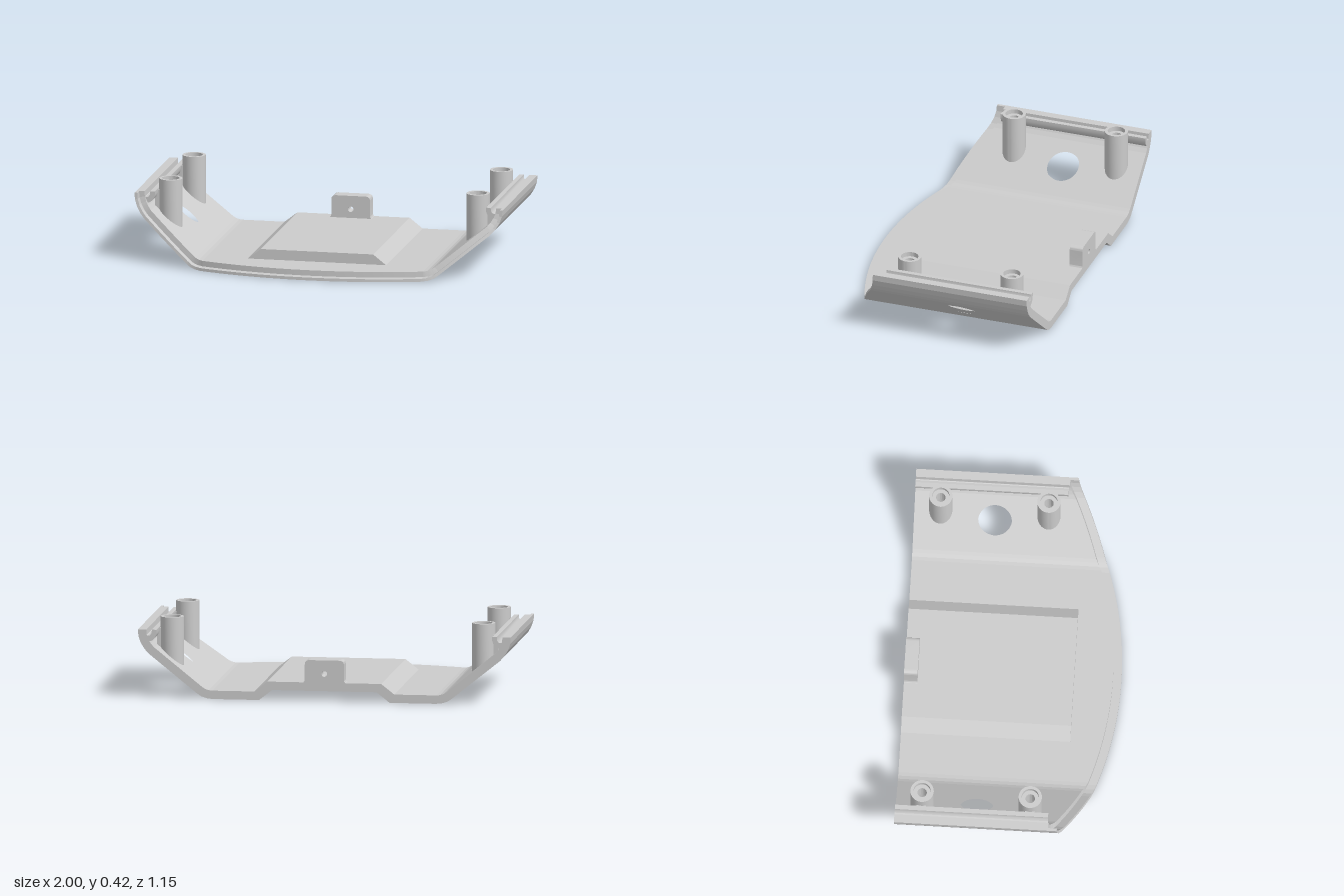
import * as THREE from 'three';
import { toCreasedNormals } from 'three/addons/utils/BufferGeometryUtils.js';

const BACK = -0.575, LIP = 0.045, R = 1.897;
const frontZ = (x) => Math.sqrt(R * R - x * x) - R + 0.575;
const POST_X = 0.835, POST_Z = [0.14, -0.435];
const mat = new THREE.MeshStandardMaterial({ color: 0xcccccc });

// Half profile of the shell: [outer x, outer y, inner x, inner y]
const HALF = [
  [0.6, 0, 0.6, 0.045], [0.632, 0.004, 0.62, 0.047], [0.66, 0.013, 0.64, 0.054],
  [0.685, 0.03, 0.657, 0.065], [0.94, 0.235, 0.912, 0.27], [0.965, 0.262, 0.93, 0.29],
  [0.985, 0.295, 0.944, 0.313], [0.997, 0.33, 0.953, 0.337], [1, 0.365, 0.955, 0.365],
];
const SLOPE = 3; // index of the straight side panel

const polygon = (pts, sx = 1) => new THREE.Shape(pts.map(([x, y]) => new THREE.Vector2(x * sx, y)));

function extrudeZ(shape, z0, z1) {
  const g = new THREE.ExtrudeGeometry(shape, { depth: z1 - z0, bevelEnabled: false, curveSegments: 16 });
  return g.translate(0, 0, z0);
}

// One panel between two profile stations, covering thickness t0..t1
function panel(a, b, t0, t1, inset, kind) {
  const steps = kind === 'floor' ? 40 : 8;
  const outline = [];
  if (kind === 'floor') {
    // notch at the back for the raised tray
    const n = 0.375 / 1.2;
    outline.push([0, -BACK], [0.5 - n, -BACK], [0.5 - n, -0.325], [0.5 + n, -0.325], [0.5 + n, -BACK], [1, -BACK]);
  } else outline.push([0, -BACK], [1, -BACK]);
  for (let i = steps; i >= 0; i--) {
    const u = i / steps;
    outline.push([u, inset - frontZ(a[0] + (b[0] - a[0]) * u)]);
  }
  const shape = polygon(outline);
  const left = a[0] > 0, side = (u) => (left ? u : 1 - u);
  if (kind === 'slope') {
    const hole = (u, z, ru, rz) => {
      const p = new THREE.Path();
      p.absellipse(side(u), -z, ru, rz, 0, Math.PI * 2, true);
      shape.holes.push(p);
    };
    hole(0.55, -0.145, 0.09 / 0.327, 0.09);
    POST_Z.forEach((z) => hole(0.59, z, 0.137, 0.035));
  }
  const g = new THREE.ExtrudeGeometry(shape, { depth: t1 - t0, bevelEnabled: false, curveSegments: 20 });
  const p = g.attributes.position;
  const mix = THREE.MathUtils.lerp;
  for (let i = 0; i < p.count; i++) {
    let u = p.getX(i);
    const z = -p.getY(i), t = p.getZ(i) + t0;
    // screw holes run vertically through the sloping panel
    if (kind === 'slope' && u > 0.01 && u < 0.99 && POST_Z.some((c) => Math.abs(z - c) < 0.04)) {
      u += (left ? 0.11 : -0.11) * t;
    }
    p.setXYZ(i, mix(mix(a[0], b[0], u), mix(a[2], b[2], u), t), mix(mix(a[1], b[1], u), mix(a[3], b[3], u), t), z);
  }
  return toCreasedNormals(g, 0.5);
}

// Hollow screw post whose foot follows the sloping wall
function post(sx, z) {
  const profile = [[0.062, 0], [0.062, 0.42], [0.046, 0.42], [0.046, 0.395], [0.025, 0.395],
    [0.025, 0.3], [0.035, 0.3], [0.035, 0]].map(([x, y]) => new THREE.Vector2(x, y));
  const g = new THREE.LatheGeometry(profile, 40).translate(sx * POST_X, 0, z);
  const p = g.attributes.position;
  for (let i = 0; i < p.count; i++) {
    if (p.getY(i) < 0.01) p.setY(i, 0.06 + (Math.abs(p.getX(i)) - 0.685) * 0.804);
  }
  return toCreasedNormals(g, 0.5);
}

export function createModel() {
  const model = new THREE.Group();
  const add = (name, geometry) => {
    const m = new THREE.Mesh(geometry, mat);
    m.name = name;
    model.add(m);
  };

  // Shell: thin outer skin with a front lip, thicker inner layer set back
  const mirrored = HALF.map(([ox, oy, ix, iy]) => [-ox, oy, -ix, iy]).reverse();
  const stations = [...mirrored, ...HALF];
  const mid = HALF.length - 1;
  for (let i = 0; i < stations.length - 1; i++) {
    const kind = i === mid ? 'floor' : Math.abs(i - mid) === SLOPE + 1 ? 'slope' : 'bend';
    const name = { floor: 'floor', slope: 'sidePanel', bend: 'curvedWall' }[kind];
    add(name + 'Outer', panel(stations[i], stations[i + 1], 0, 0.34, 0, kind));
    add(name + 'Inner', panel(stations[i], stations[i + 1], 0.34, 1, LIP, kind));
  }

  // Raised tray, hollow below and open at the back
  add('tray', extrudeZ(polygon([[-0.375, 0], [-0.375, 0.045], [-0.305, 0.1], [0.305, 0.1], [0.375, 0.045],
    [0.375, 0], [0.35, 0], [0.28, 0.055], [-0.28, 0.055], [-0.35, 0]]), BACK, 0.29));
  add('trayFront', extrudeZ(polygon([[-0.375, 0], [-0.375, 0.045], [-0.305, 0.1], [0.305, 0.1],
    [0.375, 0.045], [0.375, 0]]), 0.29, 0.325));

  // Bracket tab with rounded top, filleted foot and a small hole
  const tab = new THREE.Shape();
  tab.moveTo(-0.12, 0.098);
  tab.lineTo(0.12, 0.098);
  tab.quadraticCurveTo(0.105, 0.1, 0.105, 0.118);
  tab.lineTo(0.105, 0.195);
  tab.quadraticCurveTo(0.105, 0.22, 0.08, 0.22);
  tab.lineTo(-0.08, 0.22);
  tab.quadraticCurveTo(-0.105, 0.22, -0.105, 0.195);
  tab.lineTo(-0.105, 0.118);
  tab.quadraticCurveTo(-0.105, 0.1, -0.12, 0.098);
  tab.holes.push(new THREE.Path().absarc(0, 0.147, 0.015, 0, Math.PI * 2, true));
  add('bracketTab', toCreasedNormals(extrudeZ(tab, BACK, -0.503), 0.5));

  for (const sx of [-1, 1]) {
    // Grooved rail along the top edge
    add('edgeRail', toCreasedNormals(extrudeZ(polygon([[0.95, 0.3], [0.925, 0.306], [0.908, 0.322], [0.9, 0.345],
      [0.9, 0.365], [0.925, 0.365], [0.926, 0.347], [0.935, 0.335], [0.948, 0.333], [0.96, 0.34]], sx), BACK, 0.24), 0.6));
    // Posts with a small web joining them to the rail
    for (const z of POST_Z) {
      add('screwPost', post(sx, z));
      add('postWeb', new THREE.BoxGeometry(0.03, 0.11, 0.05).translate(sx * 0.9, 0.305, z));
    }
  }
  return model;
}
